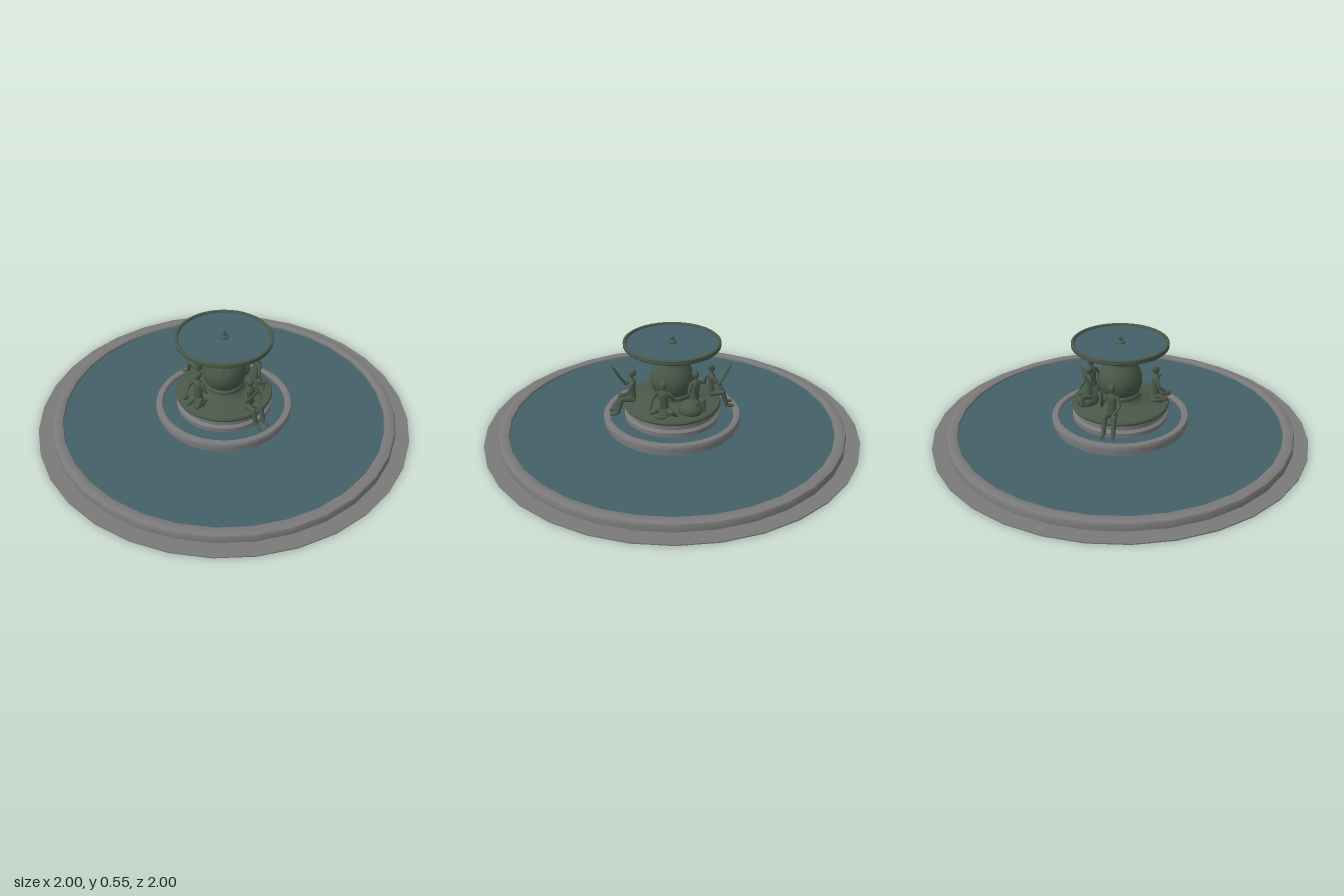
import * as THREE from 'three';
import { toCreasedNormals } from 'three/addons/utils/BufferGeometryUtils.js';

const stone = new THREE.MeshStandardMaterial({ name: 'stone', color: 0x7a7a7a });
const bronze = new THREE.MeshStandardMaterial({ name: 'bronze', color: 0x4a594a });
const water = new THREE.MeshStandardMaterial({ name: 'water', color: 0x446069 });

function add(parent, name, geometry, material, x = 0, y = 0, z = 0) {
  const mesh = new THREE.Mesh(geometry, material);
  mesh.name = name;
  mesh.position.set(x, y, z);
  parent.add(mesh);
  return mesh;
}

// Turned part from [radius, height] pairs, listed bottom to top on the outside
function turned(parent, name, profile, material, sides = 32) {
  const geo = new THREE.LatheGeometry(profile.map(p => new THREE.Vector2(...p)), sides);
  return add(parent, name, toCreasedNormals(geo, 0.6), material);
}

function waterDisc(parent, name, radius, y, sides = 32) {
  const mesh = add(parent, name, new THREE.CircleGeometry(radius, sides), water, 0, y, 0);
  mesh.rotation.x = -Math.PI / 2;
}

// Tapered limb with round joints through a list of points
function limb(parent, name, points, r0, r1) {
  const v = points.map(p => new THREE.Vector3(...p));
  const n = v.length - 1;
  const radius = i => r0 + (r1 - r0) * i / n;
  for (let i = 0; i <= n; i++) {
    add(parent, name + 'Joint', new THREE.SphereGeometry(radius(i), 10, 8), bronze, ...v[i]);
    if (i === n) continue;
    const dir = v[i + 1].clone().sub(v[i]);
    const mid = v[i].clone().add(v[i + 1]).multiplyScalar(0.5);
    const geo = new THREE.CylinderGeometry(radius(i + 1), radius(i), dir.length(), 10, 1, true);
    const mesh = add(parent, name, geo, bronze, ...mid);
    mesh.quaternion.setFromUnitVectors(new THREE.Vector3(0, 1, 0), dir.normalize());
  }
}

// Figure facing local +z, hips at the origin; limbs run from the body outward
function figure(name, pose) {
  const g = new THREE.Group();
  g.name = name;
  const lean = pose.lean || 0;
  const torso = add(g, 'torso', toCreasedNormals(new THREE.LatheGeometry([
    [0, -0.02], [0.024, -0.012], [0.028, 0.004], [0.021, 0.04],
    [0.028, 0.08], [0.026, 0.1], [0.01, 0.111], [0.008, 0.128]
  ].map(p => new THREE.Vector2(...p)), 14), 1), bronze);
  torso.scale.z = 0.72;
  torso.rotation.x = lean;
  const at = (x, y) => [x, y * Math.cos(lean), y * Math.sin(lean)];
  const head = add(g, 'head', new THREE.SphereGeometry(0.018, 14, 10), bronze, ...at(0, 0.14));
  head.scale.set(0.9, 1.2, 1);
  const hair = add(g, 'hair', new THREE.SphereGeometry(0.0175, 12, 8), bronze, ...at(0, 0.146));
  hair.position.z -= 0.006;
  limb(g, 'leftArm', [at(0.029, 0.095), ...pose.leftArm], 0.01, 0.006);
  limb(g, 'rightArm', [at(-0.029, 0.095), ...pose.rightArm], 0.01, 0.006);
  for (const s of [1, -1]) {
    limb(g, s > 0 ? 'leftLeg' : 'rightLeg',
      [[s * 0.015, -0.003, 0], ...pose.leg.map(([x, y, z]) => [s * x, y, z])], 0.017, 0.008);
  }
  return g;
}

const seated = {
  leg: [[0.024, 0.004, 0.058], [0.025, -0.074, 0.083], [0.028, -0.08, 0.115]],
  leftArm: [[0.046, 0.055, 0.025], [0.022, 0.025, 0.055]],
  rightArm: [[-0.045, 0.06, 0.03], [-0.035, 0.11, 0.065], [-0.03, 0.155, 0.09]]
};
const kneeling = {
  leg: [[0.028, -0.018, 0.05], [0.03, -0.024, -0.03]],
  leftArm: [[0.055, 0.06, 0.01], [0.025, 0.1, 0.03]],
  rightArm: [[-0.052, 0.06, 0.01], [-0.045, 0.03, 0.05]]
};
const leaning = {
  lean: 0.12,
  leg: [[0.045, -0.005, 0.03], [0.07, -0.03, 0.015]],
  leftArm: [[0.055, 0.065, 0.02], [0.03, 0.11, 0.055]],
  rightArm: [[-0.055, 0.06, 0], [-0.07, 0.0, 0.015]]
};
const perched = {
  leg: [[0.022, 0.002, 0.04], [0.024, -0.055, 0.045]],
  leftArm: [[0.05, 0.085, 0.01], [0.045, 0.13, 0.03]],
  rightArm: [[-0.05, 0.06, 0.01], [-0.04, 0.02, 0.04]]
};

function place(parent, fig, x, y, z, turn) {
  fig.position.set(x, y, z);
  fig.rotation.y = turn;
  parent.add(fig);
  return fig;
}

export function createModel() {
  const model = new THREE.Group();
  model.name = 'fountain';

  // Paving disc and wide lower pool
  add(model, 'paving', new THREE.CylinderGeometry(1, 1, 0.006, 32), stone, 0, 0.003, 0);
  turned(model, 'poolRim', [[0.915, 0.005], [0.925, 0.012], [0.925, 0.04], [0.92, 0.05],
    [0.905, 0.056], [0.88, 0.056], [0.868, 0.052], [0.865, 0.046], [0.865, 0.02]], stone);
  waterDisc(model, 'poolWater', 0.867, 0.04);

  // Raised inner pool
  turned(model, 'innerRim', [[0.355, 0.03], [0.355, 0.058], [0.366, 0.064], [0.368, 0.09],
    [0.363, 0.099], [0.35, 0.102], [0.335, 0.1], [0.33, 0.094], [0.33, 0.06]], stone, 40);
  waterDisc(model, 'innerWater', 0.332, 0.085, 40);

  // Stone pedestal with moulded courses
  turned(model, 'pedestal', [[0.255, 0.07], [0.255, 0.108], [0.245, 0.115], [0.24, 0.12],
    [0.24, 0.14], [0.25, 0.147], [0.25, 0.155], [0, 0.155]], stone, 40);

  // Bronze platform and urn-shaped column
  turned(model, 'platform', [[0.24, 0.152], [0.257, 0.154], [0.26, 0.164], [0.255, 0.173],
    [0.24, 0.175], [0.13, 0.182], [0.108, 0.195], [0.1, 0.21]], bronze, 40);
  turned(model, 'column', [[0.102, 0.19], [0.102, 0.222], [0.094, 0.23], [0.107, 0.25],
    [0.115, 0.28], [0.116, 0.305], [0.111, 0.335], [0.099, 0.365], [0.083, 0.388],
    [0.078, 0.4], [0.078, 0.425]], bronze, 32);

  // Upper bowl with its water and finial
  turned(model, 'upperBowl', [[0.07, 0.395], [0.085, 0.412], [0.115, 0.425], [0.15, 0.445],
    [0.19, 0.468], [0.225, 0.482], [0.25, 0.487], [0.254, 0.492], [0.254, 0.51],
    [0.25, 0.514], [0.24, 0.514], [0.236, 0.508], [0.236, 0.49]], bronze, 40);
  waterDisc(model, 'bowlWater', 0.238, 0.504, 40);
  turned(model, 'finial', [[0.026, 0.5], [0.026, 0.51], [0.014, 0.516], [0.009, 0.522],
    [0.013, 0.53], [0.006, 0.538], [0, 0.546]], bronze, 16);

  // Two seated figures facing opposite ways, feet over the platform edge
  for (const s of [1, -1]) {
    const sitter = place(model, figure('seatedFigure', seated),
      s * 0.07, 0.2, s * 0.2, 0.33 + (s < 0 ? Math.PI : 0));
    limb(sitter, 'reed', [[-0.034, 0.12, 0.065], [-0.028, 0.17, 0.1]], 0.005, 0.004);
  }

  // Kneeling figure with a jug
  const kneeler = place(model, figure('kneelingFigure', kneeling), -0.17, 0.218, 0.08, -0.9);
  add(kneeler, 'drapery', new THREE.CylinderGeometry(0.026, 0.042, 0.045, 14), bronze, 0, -0.021, 0);
  add(kneeler, 'jug', new THREE.SphereGeometry(0.016, 12, 8), bronze, -0.04, 0.024, 0.058);

  // Leaning figure with braced limbs
  const leaner = place(model, figure('leaningFigure', leaning), 0.175, 0.207, 0.01, Math.PI / 2);
  add(leaner, 'drapery', new THREE.CylinderGeometry(0.026, 0.045, 0.04, 14), bronze, 0, -0.015, 0);
  const shell = add(leaner, 'shell', new THREE.SphereGeometry(0.025, 12, 8), bronze, -0.01, -0.022, 0.05);
  shell.scale.set(1.3, 0.5, 0.7);

  // Figure perched on a rounded rock
  const rock = add(model, 'rock', new THREE.SphereGeometry(0.06, 16, 10), bronze, 0.13, 0.195, -0.12);
  rock.scale.set(1, 0.8, 1.1);
  place(model, figure('perchedFigure', perched), 0.105, 0.238, -0.14, 2.4);

  return model;
}
